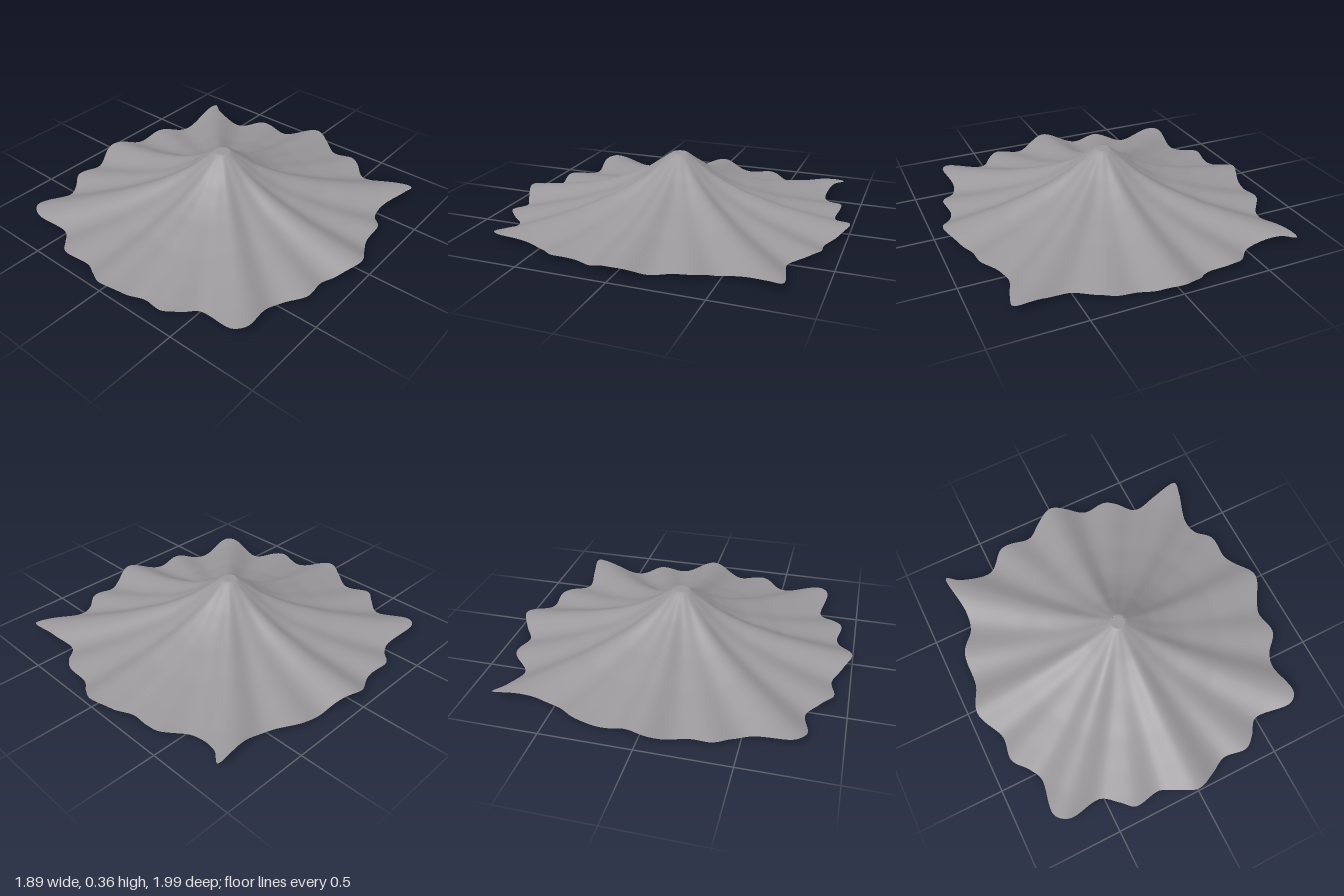
import * as THREE from 'three';

// Scalloped hem seen from above as x, z pairs, starting at the back.
const HEM = [
  0, -1, 0.1, -0.96, 0.2, -0.9, 0.33, -0.9, 0.4, -0.86, 0.5, -0.77, 0.65, -0.79, 0.81, -0.81,
  0.8, -0.73, 0.75, -0.55, 0.77, -0.45, 0.84, -0.36, 0.85, -0.22, 0.89, -0.13,
  0.945, 0, 0.89, 0.13, 0.85, 0.22, 0.86, 0.37, 0.78, 0.47, 0.75, 0.56, 0.77, 0.75, 0.72, 0.8,
  0.5, 0.78, 0.43, 0.86, 0.36, 0.915, 0.22, 0.9, 0.12, 0.95,
  0, 0.995, -0.1, 0.95, -0.2, 0.9, -0.36, 0.92, -0.43, 0.86, -0.52, 0.79, -0.72, 0.815, -0.79, 0.76,
  -0.77, 0.54, -0.81, 0.46, -0.88, 0.37, -0.87, 0.22, -0.945, 0.04, -0.89, -0.13, -0.87, -0.35,
  -0.78, -0.48, -0.76, -0.6, -0.785, -0.85, -0.71, -0.8, -0.52, -0.78, -0.4, -0.89, -0.33, -0.9,
  -0.2, -0.89, -0.11, -0.95,
];

// Radius and height along a ridge of the cloth.
const RIDGE = [[0, 0.37], [0.045, 0.37], [0.1, 0.33], [0.2, 0.262], [0.3, 0.213], [0.4, 0.174],
  [0.6, 0.117], [0.8, 0.082], [0.95, 0.062], [1.2, 0.05]];

const SEGMENTS = 320, RINGS = 40, CAP = 0.04, CENTRE_X = -0.012;

function ridgeHeight(r) {
  let i = 1;
  while (i < RIDGE.length - 1 && RIDGE[i][0] < r) i++;
  const [r0, y0] = RIDGE[i - 1], [r1, y1] = RIDGE[i];
  return THREE.MathUtils.lerp(y0, y1, (r - r0) / (r1 - r0));
}

// Eight main folds reach the peak; the smaller ones open towards the hem.
function clothHeight(r, t, angle) {
  const main = 0.032 * THREE.MathUtils.smoothstep(r, 0.04, 0.4) * (1 - Math.cos(8 * angle)) / 2;
  const small = 0.04 * Math.pow(t, 1.3) * (1 - Math.cos(16 * angle)) / 2;
  return ridgeHeight(r) - main - small;
}

function clothGeometry() {
  const points = [];
  for (let i = 0; i < HEM.length; i += 2) points.push(new THREE.Vector3(HEM[i], 0, HEM[i + 1]));
  const hem = new THREE.CatmullRomCurve3(points, true, 'centripetal');

  // Rings from the small flat cap out to the hem
  const positions = [], index = [];
  for (let j = 0; j <= RINGS; j++) {
    const s = Math.pow(j / RINGS, 1.3);
    for (let i = 0; i < SEGMENTS; i++) {
      const p = hem.getPoint(i / SEGMENTS);
      const rim = Math.hypot(p.x, p.z), angle = Math.atan2(p.z, p.x);
      const r = CAP + (rim - CAP) * s;
      const shift = CENTRE_X * (1 - s);
      positions.push(Math.cos(angle) * r + shift, clothHeight(r, s, angle), Math.sin(angle) * r);
    }
  }
  for (let j = 0; j < RINGS; j++) {
    for (let i = 0; i < SEGMENTS; i++) {
      const n = (i + 1) % SEGMENTS;
      const a = j * SEGMENTS + i, b = j * SEGMENTS + n;
      const c = a + SEGMENTS, d = b + SEGMENTS;
      index.push(a, b, d, a, d, c);
    }
  }
  // Wind the faces so that they look upwards
  for (let k = 0; k < index.length; k += 3) [index[k + 1], index[k + 2]] = upward(positions, index, k);

  const geometry = new THREE.BufferGeometry();
  geometry.setAttribute('position', new THREE.Float32BufferAttribute(positions, 3));
  geometry.setIndex(index);
  geometry.computeVertexNormals();
  return geometry;
}

function upward(p, index, k) {
  const [a, b, c] = [index[k] * 3, index[k + 1] * 3, index[k + 2] * 3];
  const ny = (p[b + 2] - p[a + 2]) * (p[c] - p[a]) - (p[b] - p[a]) * (p[c + 2] - p[a + 2]);
  return ny > 0 ? [index[k + 1], index[k + 2]] : [index[k + 2], index[k + 1]];
}

export function createModel() {
  const group = new THREE.Group();
  group.name = 'drapedCanopy';

  const material = new THREE.MeshStandardMaterial({ color: 0x9a989a });
  material.name = 'grey cloth';
  material.side = THREE.DoubleSide;

  const cloth = new THREE.Mesh(clothGeometry(), material);
  cloth.name = 'cloth';

  // Flat top over the supporting pole
  const cap = new THREE.Mesh(new THREE.CircleGeometry(CAP, 48).rotateX(-Math.PI / 2), material);
  cap.name = 'peakCap';
  cap.position.set(CENTRE_X, 0.37, 0);

  group.add(cloth, cap);

  // Rest the lowest folds on the ground
  const floor = new THREE.Box3().setFromObject(group).min.y;
  group.children.forEach((part) => { part.position.y -= floor; });
  return group;
}
